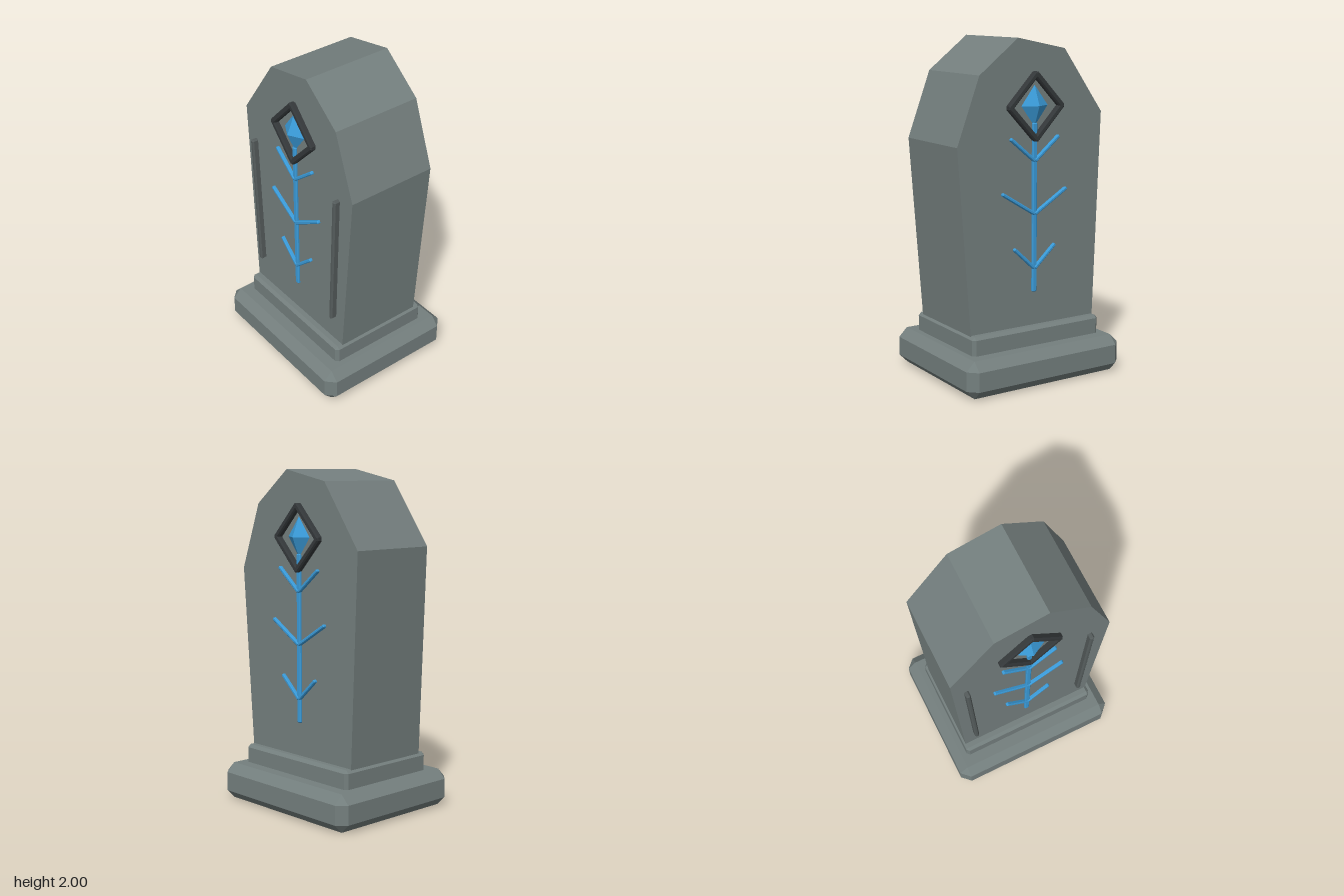
import * as THREE from 'three';
import { ConvexGeometry } from 'three/addons/geometries/ConvexGeometry.js';

const material = (name, color) => {
  const m = new THREE.MeshStandardMaterial({ color });
  m.name = name;
  return m;
};

// Box with every edge and corner cut by c
function chamferBox(w, h, d, c) {
  const points = [];
  for (const sx of [-1, 1]) for (const sy of [-1, 1]) for (const sz of [-1, 1]) {
    const x = w / 2, y = h / 2, z = d / 2;
    points.push(
      new THREE.Vector3(sx * x, sy * (y - c), sz * (z - c)),
      new THREE.Vector3(sx * (x - c), sy * y, sz * (z - c)),
      new THREE.Vector3(sx * (x - c), sy * (y - c), sz * z));
  }
  return new ConvexGeometry(points);
}

export function createModel() {
  const stone = material('stone', 0x747f7e);
  const darkStone = material('darkStone', 0x555c5c);
  const iron = material('iron', 0x34383a);
  const blue = material('glowBlue', 0x3a9bd9);

  const model = new THREE.Group();
  model.name = 'gravestone';

  const add = (parent, name, geometry, mat, x = 0, y = 0, z = 0) => {
    const mesh = new THREE.Mesh(geometry, mat);
    mesh.name = name;
    mesh.position.set(x, y, z);
    parent.add(mesh);
    return mesh;
  };

  // Chamfered bar laid on a face from (x1, y1) to (x2, y2)
  const bar = (parent, name, mat, [x1, y1], [x2, y2], width, z0, z1, c) => {
    const length = Math.hypot(x2 - x1, y2 - y1);
    const mesh = add(parent, name, chamferBox(width, length, z1 - z0, c), mat,
      (x1 + x2) / 2, (y1 + y2) / 2, (z0 + z1) / 2);
    mesh.rotation.z = Math.atan2(y2 - y1, x2 - x1) - Math.PI / 2;
  };

  // Stepped foot
  add(model, 'base', chamferBox(1.064, 0.22, 0.906, 0.053), stone, 0, 0.11, 0);
  add(model, 'plinth', chamferBox(0.884, 0.13, 0.66, 0.018), stone, 0, 0.265, 0);

  // Slab with an uneven, broken top
  const outline = [[-0.428, 0.3], [0.428, 0.3], [0.51, 1.41], [0.365, 1.8],
    [0.11, 2], [-0.21, 1.935], [-0.477, 1.56]];
  const slab = new THREE.ExtrudeGeometry(
    new THREE.Shape(outline.map(([x, y]) => new THREE.Vector2(x, y))),
    { depth: 0.56, bevelEnabled: false });
  add(model, 'slab', slab.translate(0, 0, -0.28), stone);

  // Ornament repeated on front and back
  for (const side of ['front', 'back']) {
    const ornament = new THREE.Group();
    ornament.name = side + 'Ornament';
    if (side === 'back') ornament.rotation.y = Math.PI;
    model.add(ornament);

    // Diamond frame
    const corners = [[0, 1.797], [0.175, 1.612], [0, 1.427], [-0.175, 1.612]];
    corners.forEach((a, i) => {
      const b = corners[(i + 1) % 4];
      const k = 0.04; // overlap at the corners
      const dx = (b[0] - a[0]) * k, dy = (b[1] - a[1]) * k;
      bar(ornament, 'frameBar', iron, [a[0] - dx, a[1] - dy], [b[0] + dx, b[1] + dy],
        0.034, 0.265, 0.313, 0.008);
    });

    // Gem
    const gem = new THREE.OctahedronGeometry(1).scale(0.09, 0.118, 0.05);
    add(ornament, 'gem', gem, blue, 0, 1.617, 0.283);

    // Stem and rising branches
    bar(ornament, 'stem', blue, [0, 0.53], [0, 1.52], 0.032, 0.265, 0.294, 0.006);
    for (const [y, tipX, tipY] of [[0.67, 0.142, 0.8], [0.992, 0.222, 1.127], [1.3, 0.166, 1.437]]) {
      for (const s of [-1, 1]) {
        bar(ornament, 'branch', blue, [0, y], [s * tipX, tipY], 0.02, 0.272, 0.299, 0.005);
      }
    }
  }

  // Raised strips along the front edges
  for (const s of [-1, 1]) {
    bar(model, 'edgeStrip', darkStone, [s * 0.356, 0.505], [s * 0.388, 1.377],
      0.028, 0.265, 0.316, 0.008);
  }

  return model;
}
